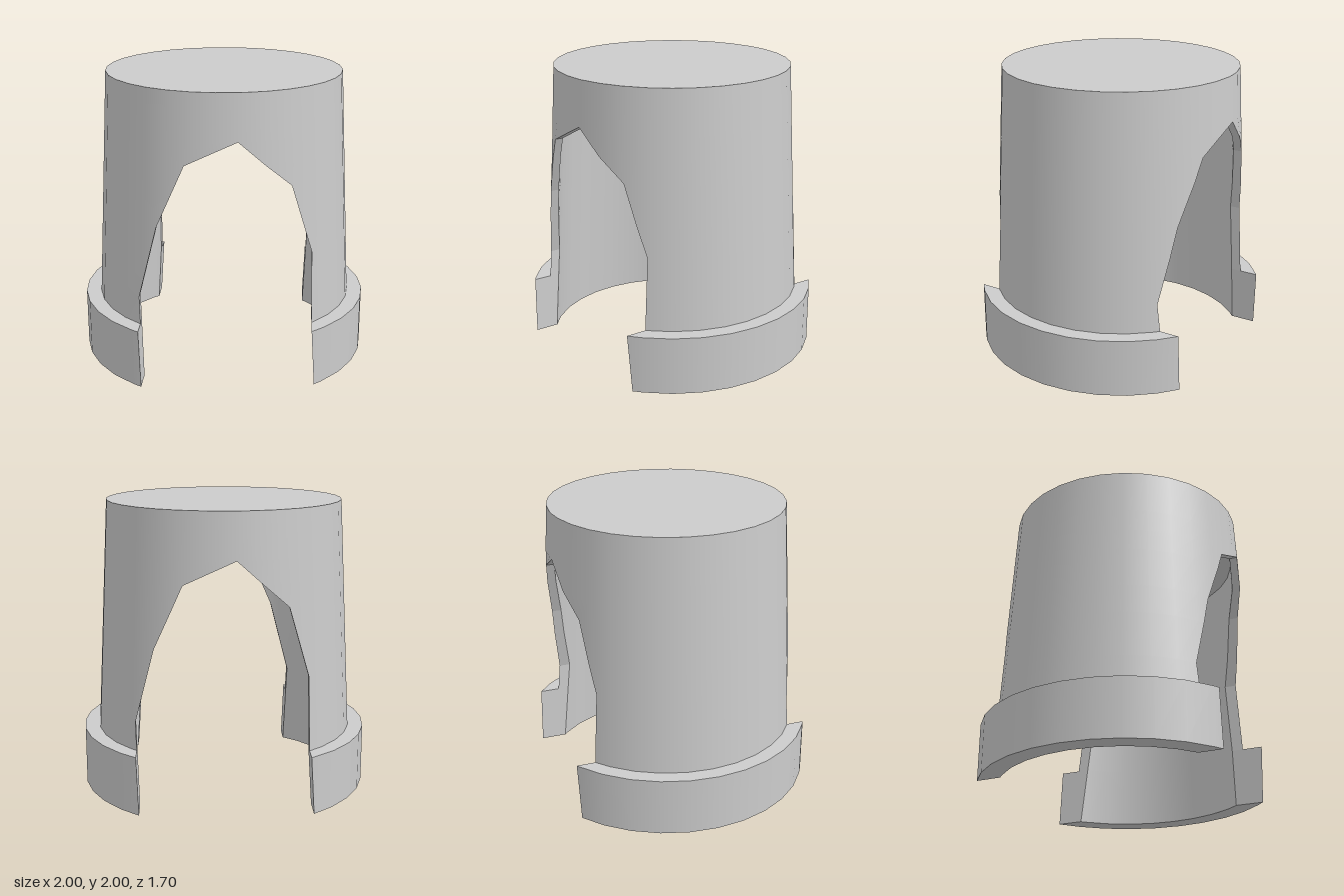
import * as THREE from 'three';

const SIDES = 32, STEP = (2 * Math.PI) / SIDES, ZC = -0.017;
const WALL = 0.055, RIM_Y = 0.4, PEAK = 1.69, CEILING = 1.7, TOP = 2;

// Arch opening: x of its two edges against height
const archA = [[0, -0.5], [0.59, -0.52], [1.1, -0.39], [1.53, -0.2], [PEAK, 0.14]];
const archB = [[0, 0.655], [0.4, 0.63], [0.9, 0.62], [1.38, 0.48], [PEAK, 0.14]];
const levels = [0, 0.4, 0.59, 0.9, 1.1, 1.38, 1.53, PEAK];
const BACK_SHIFT = 0.085; // the rear arch is the front one turned half round

function edgeX(points, y) {
  for (let i = 1; i < points.length; i++) {
    const [y0, x0] = points[i - 1], [y1, x1] = points[i];
    if (y <= y1) return x0 + ((x1 - x0) * (y - y0)) / (y1 - y0);
  }
  return points[points.length - 1][1];
}

const outerR = (y) => 0.895 - 0.0531 * (y - RIM_Y);
const innerR = (y) => outerR(y) - WALL;
const angleAt = (x, r) => Math.acos(THREE.MathUtils.clamp(x / Math.max(r, 1e-6), -1, 1));

// Angular span of one side at height y and radius r
function span(side, y, r) {
  const a = edgeX(archA, y), b = edgeX(archB, y);
  return side > 0
    ? [-angleAt(BACK_SHIFT - a, r), angleAt(b, r)]
    : [angleAt(a, r), 2 * Math.PI - angleAt(BACK_SHIFT - b, r)];
}

const place = (y, r, t) => new THREE.Vector3(r * Math.cos(t), y, ZC + r * Math.sin(t));

// Sweep a [y, radius] profile round one side, and close the arch edges
// between the outer radius and the inner wall at the given heights
function sweep(name, side, profile, cutLevels, cutR) {
  const pos = [], nor = [];
  const tri = (pts, normals) => {
    const n = pts[1].clone().sub(pts[0]).cross(pts[2].clone().sub(pts[0]));
    if (n.length() < 1e-9) return;
    n.normalize();
    pts.forEach((p, i) => {
      pos.push(p.x, p.y, p.z);
      nor.push(...(normals ? normals[i] : n).toArray());
    });
  };

  for (let i = 1; i < profile.length; i++) {
    const [y0, r0] = profile[i - 1], [y1, r1] = profile[i];
    const s0 = span(side, y0, r0), s1 = span(side, y1, r1);
    const normal = (t) => new THREE.Vector3(
      (y1 - y0) * Math.cos(t), r0 - r1, (y1 - y0) * Math.sin(t)).normalize();
    const first = side > 0 ? -SIDES / 2 : 0;
    for (let k = first; k < first + SIDES; k++) {
      const at = (s, j) => THREE.MathUtils.clamp(j * STEP, s[0], s[1]);
      const t = [at(s0, k), at(s1, k), at(s0, k + 1), at(s1, k + 1)];
      const p = [place(y0, r0, t[0]), place(y1, r1, t[1]), place(y0, r0, t[2]), place(y1, r1, t[3])];
      const n = t.map(normal);
      tri([p[0], p[1], p[2]], [n[0], n[1], n[2]]);
      tri([p[1], p[3], p[2]], [n[1], n[3], n[2]]);
    }
  }

  for (let i = 1; i < cutLevels.length; i++) {
    for (const end of [0, 1]) {
      const corner = (y, r) => place(y, r, span(side, y, r)[end]);
      const [y0, y1] = [cutLevels[i - 1], cutLevels[i]];
      const o0 = corner(y0, cutR(y0)), o1 = corner(y1, cutR(y1));
      const i0 = corner(y0, innerR(y0)), i1 = corner(y1, innerR(y1));
      for (const f of [[o0, o1, i0], [o1, i1, i0]]) tri(end ? f : f.reverse());
    }
  }

  const geometry = new THREE.BufferGeometry();
  geometry.setAttribute('position', new THREE.Float32BufferAttribute(pos, 3));
  geometry.setAttribute('normal', new THREE.Float32BufferAttribute(nor, 3));
  const mesh = new THREE.Mesh(geometry, new THREE.MeshStandardMaterial({ color: 0xcccccc }));
  mesh.name = name;
  return mesh;
}

export function createModel() {
  const group = new THREE.Group();
  group.name = 'archedCup';

  const upper = levels.filter((y) => y >= RIM_Y);
  const lower = levels.filter((y) => y <= RIM_Y);

  // Tapered wall, closed top, ceiling and inner wall
  const shell = [
    ...upper.map((y) => [y, outerR(y)]),
    [TOP, outerR(TOP)], [TOP, 0],
  ];
  const lining = [
    [CEILING, 0], [CEILING, innerR(CEILING)],
    ...[...levels].reverse().map((y) => [y, innerR(y)]),
  ];
  // Thick rim round the foot
  const rim = [[0, innerR(0)], [0, 1], [RIM_Y, 1], [RIM_Y, outerR(RIM_Y)]];

  for (const [side, word] of [[1, 'left'], [-1, 'right']]) {
    group.add(sweep(word + 'Shell', side, shell, upper, outerR));
    group.add(sweep(word + 'Lining', side, lining, [], outerR));
    group.add(sweep(word + 'BaseRim', side, rim, lower, () => 1));
  }
  return group;
}
